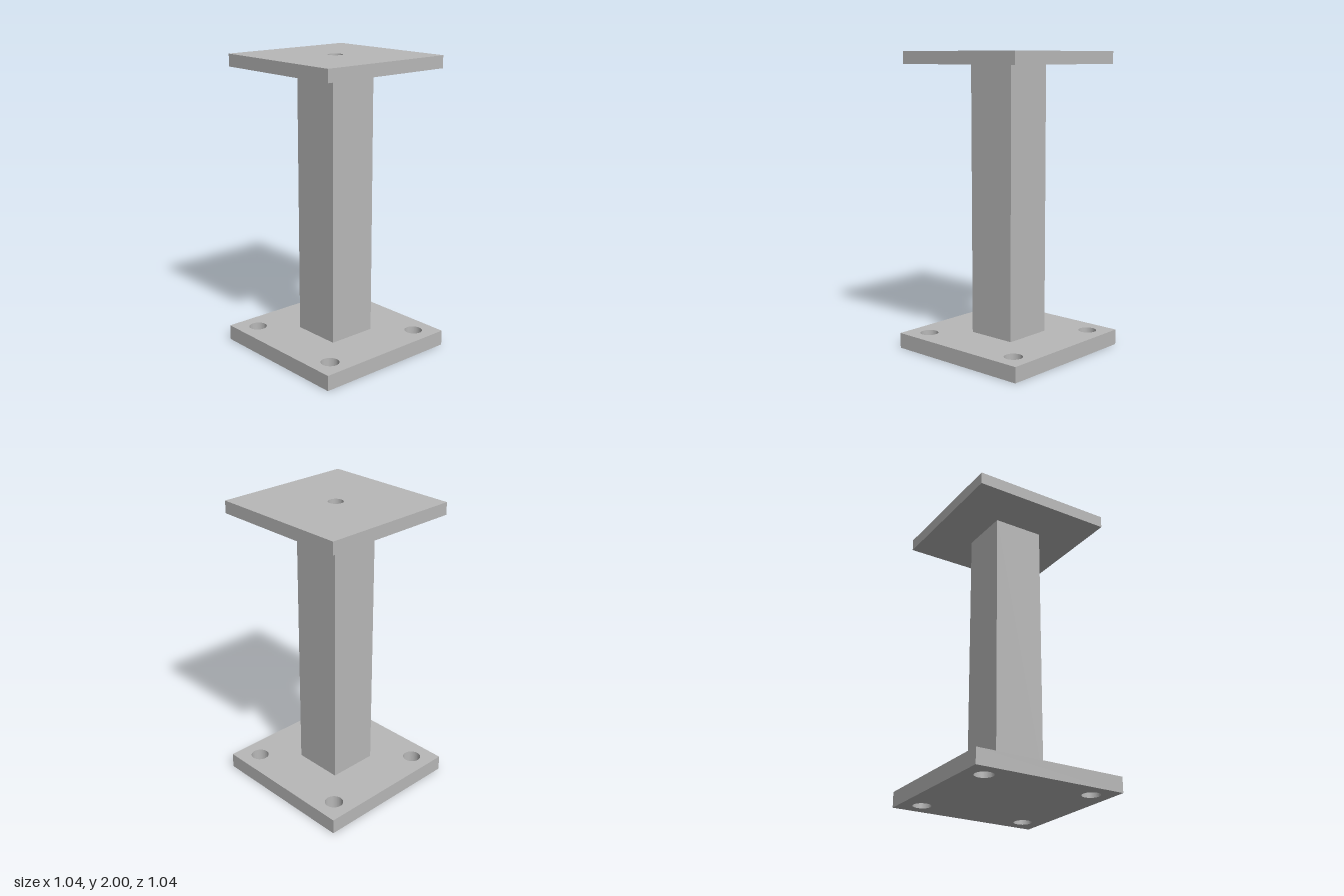
import * as THREE from 'three';

const steel = new THREE.MeshStandardMaterial({ color: 0xb8b8b8 });
steel.name = 'grey steel';

function squarePath(Type, half) {
  return new Type([[-half, -half], [half, -half], [half, half], [-half, half]]
    .map(([x, y]) => new THREE.Vector2(x, y)));
}

// Extrudes a square outline with openings upwards from y to y + height
function slab(name, half, y, height, holes) {
  const shape = squarePath(THREE.Shape, half);
  shape.holes.push(...holes);
  const geometry = new THREE.ExtrudeGeometry(shape, { depth: height, bevelEnabled: false, curveSegments: 32 });
  geometry.rotateX(-Math.PI / 2);
  const mesh = new THREE.Mesh(geometry, steel);
  mesh.name = name;
  mesh.position.y = y;
  return mesh;
}

function roundHole(x, z, radius) {
  return new THREE.Path().absarc(x, z, radius, 0, Math.PI * 2, true);
}

export function createModel() {
  const group = new THREE.Group();
  group.name = 'postSupport';

  // Base plate with a bolt hole near each corner
  const boltHoles = [];
  for (const x of [-0.383, 0.383]) {
    for (const z of [-0.383, 0.383]) boltHoles.push(roundHole(x, z, 0.061));
  }
  group.add(slab('basePlate', 0.522, 0, 0.104, boltHoles));

  // Square hollow post
  group.add(slab('post', 0.174, 0.104, 1.813, [squarePath(THREE.Path, 0.15)]));

  // Top plate with a single central hole
  group.add(slab('topPlate', 0.487, 1.917, 0.083, [roundHole(0, 0, 0.05)]));

  return group;
}
